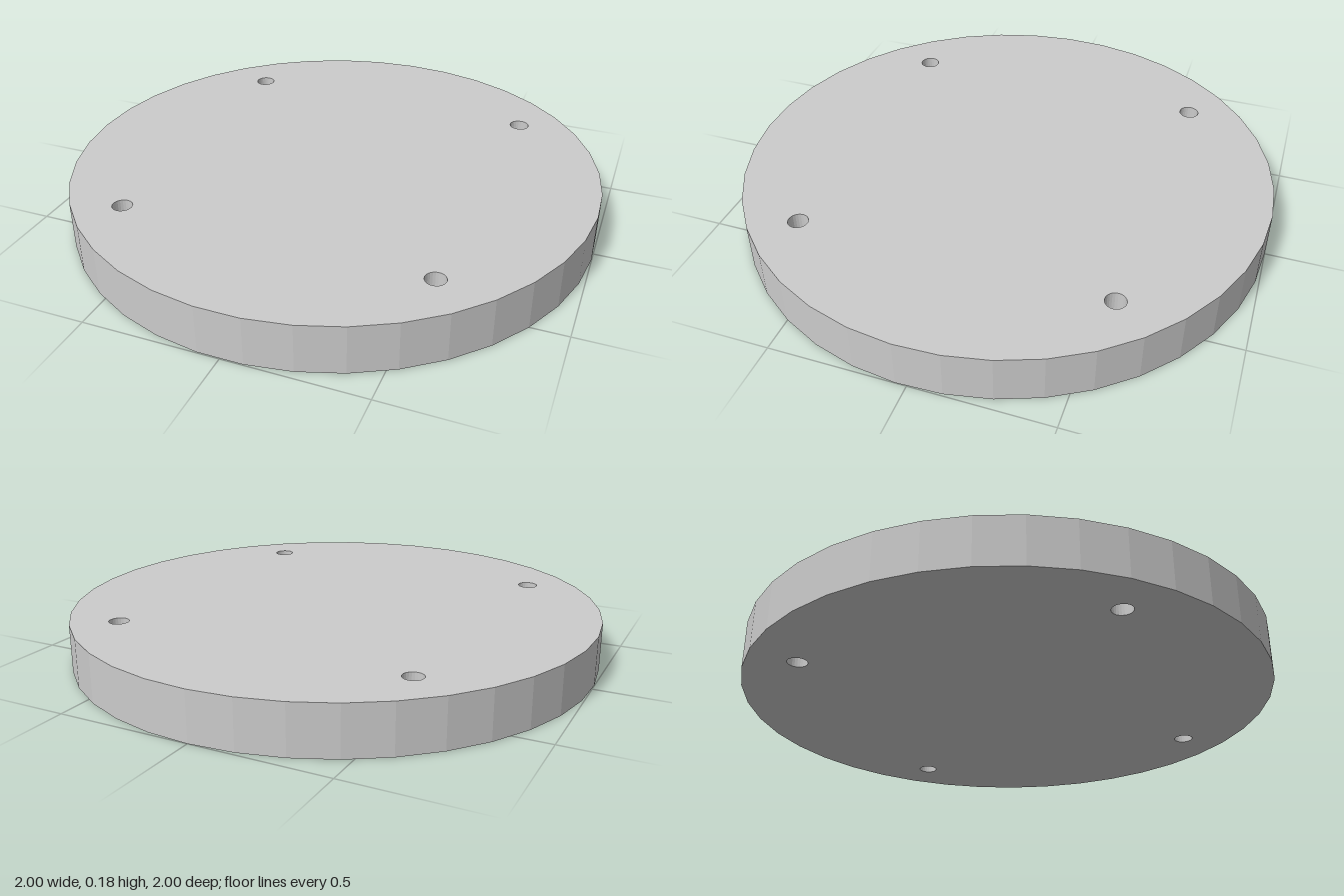
import * as THREE from 'three';

const RADIUS = 1, THICKNESS = 0.18, SIDES = 39;
const HOLE_RADIUS = 0.037, HOLE_SIDES = 24;

// Regular polygon with its first corner at the top
function polygon(cx, cy, radius, sides) {
  return Array.from({ length: sides }, (_, i) => {
    const a = Math.PI / 2 + (i / sides) * Math.PI * 2;
    return new THREE.Vector2(cx + radius * Math.cos(a), cy + radius * Math.sin(a));
  });
}

export function createModel() {
  const group = new THREE.Group();
  group.name = 'drilledDisc';

  // Faceted disc outline
  const outline = new THREE.Shape(polygon(0, 0, RADIUS, SIDES));

  // Four through holes, a quarter turn apart
  let [x, y] = [0.595, 0.57];
  for (let i = 0; i < 4; i++) {
    outline.holes.push(new THREE.Path(polygon(x, y, HOLE_RADIUS, HOLE_SIDES)));
    [x, y] = [-y, x];
  }

  // Lay the plate flat on the ground
  const geometry = new THREE.ExtrudeGeometry(outline, { depth: THICKNESS, bevelEnabled: false });
  geometry.rotateX(-Math.PI / 2);

  const plate = new THREE.Mesh(
    geometry,
    new THREE.MeshStandardMaterial({ color: 0xcccccc, flatShading: true })
  );
  plate.name = 'plate';
  group.add(plate);
  return group;
}
